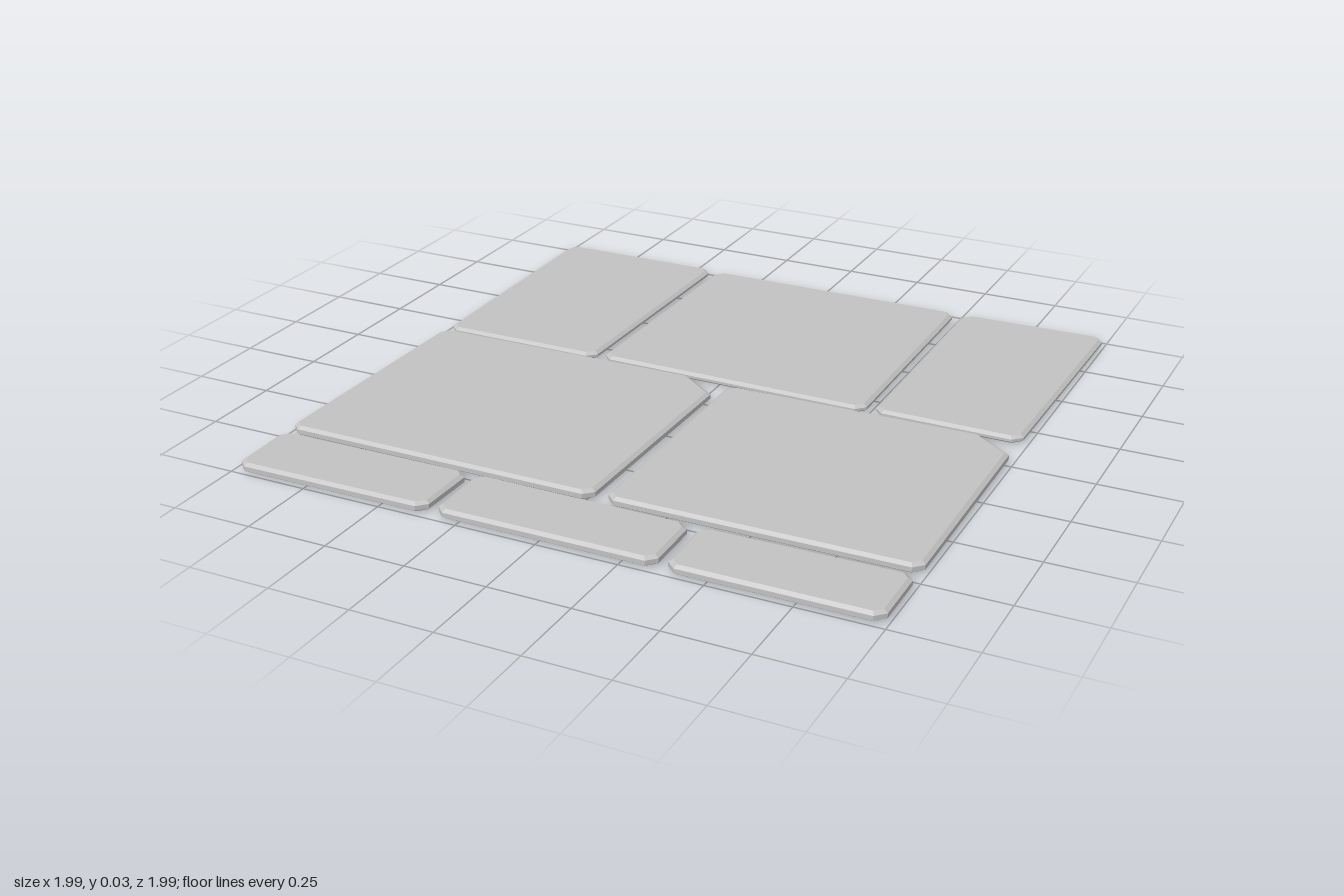
import * as THREE from 'three';

const BEVEL = 0.012;   // width of the slanted rim
const RIM = 0.008;     // height of the slanted rim
const CLIP = 0.028;    // small cut on every corner

// Four corners [x, z] in order back left, back right, front right, front left
const tiles = [
  { name: 'backLeftTile', h: 0.024, c: [[-0.995, -1], [-0.43, -1], [-0.44, -0.14], [-0.985, -0.14]] },
  { name: 'backMiddleTile', h: 0.024, c: [[-0.405, -0.99], [0.48, -0.99], [0.488, -0.138], [-0.415, -0.148]] },
  { name: 'backRightTile', h: 0.024, c: [[0.51, -0.99], [0.992, -1], [0.982, -0.14], [0.515, -0.145]] },
  { name: 'largeLeftTile', h: 0.03, cut: [0.12, 0.09], c: [[-0.985, -0.115], [0.027, -0.122], [0.02, 0.725], [-0.995, 0.725]] },
  { name: 'largeRightTile', h: 0.03, cut: [0.12, 0.09], c: [[0.052, -0.108], [0.982, -0.116], [0.99, 0.715], [0.06, 0.722]] },
  { name: 'frontLeftTile', h: 0.03, c: [[-0.99, 0.757], [-0.355, 0.75], [-0.357, 0.988], [-0.985, 0.994]] },
  { name: 'frontMiddleTile', h: 0.03, c: [[-0.33, 0.75], [0.345, 0.755], [0.35, 0.986], [-0.325, 0.988]] },
  { name: 'frontRightTile', h: 0.03, c: [[0.375, 0.758], [0.988, 0.75], [0.99, 0.988], [0.38, 0.99]] },
];

// Outline with every corner cut; the back right one may have a larger cut
function outline({ c, cut }) {
  const p = c.map(([x, z]) => new THREE.Vector2(x, -z));
  const pts = [];
  p.forEach((corner, i) => {
    const [a, b] = i === 1 && cut ? cut : [CLIP, CLIP];
    const toward = (q, d) => corner.clone().add(q.clone().sub(corner).setLength(d));
    pts.push(toward(p[(i + 3) % 4], a), toward(p[(i + 1) % 4], b));
  });
  return new THREE.Shape(pts);
}

export function createModel() {
  const group = new THREE.Group();
  group.name = 'pavingTiles';
  const stone = new THREE.MeshStandardMaterial({ color: 0xc2c2c2 });
  stone.name = 'grey stone';

  for (const tile of tiles) {
    // Slab with slanted rims above and below
    const geometry = new THREE.ExtrudeGeometry(outline(tile), {
      depth: tile.h - 2 * RIM,
      bevelEnabled: true,
      bevelSegments: 1,
      bevelSize: BEVEL,
      bevelThickness: RIM,
      bevelOffset: -BEVEL,
    });
    geometry.rotateX(-Math.PI / 2).translate(0, RIM, 0);
    const mesh = new THREE.Mesh(geometry, stone);
    mesh.name = tile.name;
    group.add(mesh);
  }
  return group;
}
